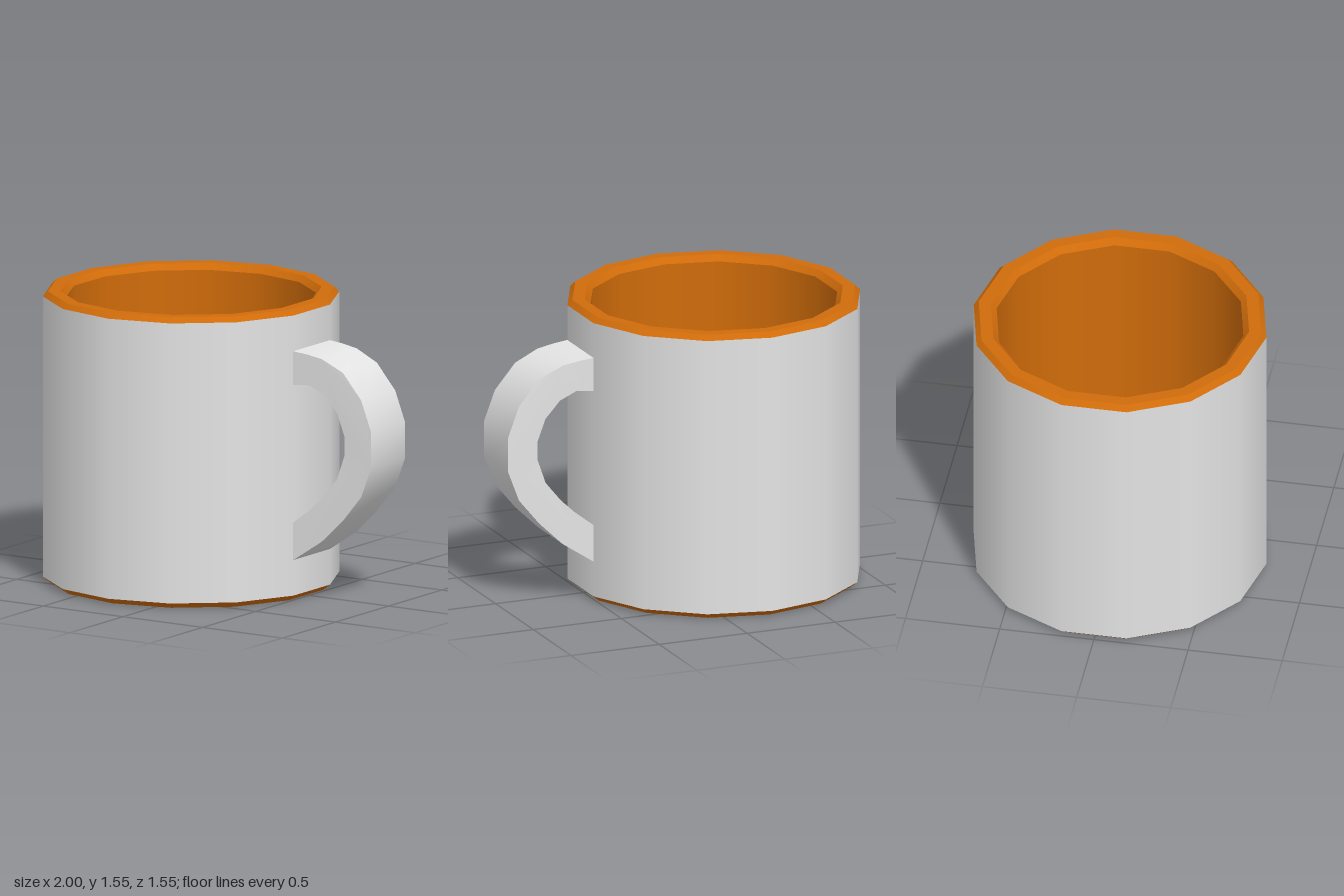
import * as THREE from 'three';
import { toCreasedNormals } from 'three/addons/utils/BufferGeometryUtils.js';

const SIDES = 14;
const BODY_X = -0.24;

export function createModel() {
  const mug = new THREE.Group();
  mug.name = 'mug';

  const glaze = new THREE.MeshStandardMaterial({ color: 0xe4e4e4 });
  glaze.name = 'pale grey glaze';
  const clay = new THREE.MeshStandardMaterial({ color: 0xd06c0a });
  clay.name = 'orange clay';

  // One band of the turned body, through a few [radius, height] points
  function band(name, points, material) {
    const profile = points.map(([r, y]) => new THREE.Vector2(r, y));
    const mesh = new THREE.Mesh(new THREE.LatheGeometry(profile, SIDES), material);
    mesh.name = name;
    mesh.position.x = BODY_X;
    mug.add(mesh);
  }

  // Body, from the slightly hollow underside up the wall, over the rim and down inside
  band('underside', [[0, 0.05], [0.25, 0.044], [0.5, 0.026], [0.74, 0]], clay);
  band('footBevel', [[0.74, 0], [0.777, 0.03]], clay);
  band('outerWall', [[0.777, 0.03], [0.777, 1.523]], glaze);
  band('rimOuterBevel', [[0.777, 1.523], [0.75, 1.55]], clay);
  band('rimTop', [[0.75, 1.55], [0.685, 1.55]], clay);
  band('rimInnerBevel', [[0.685, 1.55], [0.655, 1.518]], clay);
  band('innerWall', [[0.655, 1.518], [0.655, 0.1]], clay);
  band('innerFloor', [[0.655, 0.1], [0, 0.1]], clay);

  // Handle outline: outer edge downwards, then inner edge back up
  const outer = [
    [0.51, 1.334], [0.6, 1.325], [0.69, 1.31], [0.82, 1.25], [0.935, 1.115], [0.998, 0.95],
    [0.998, 0.765], [0.935, 0.6], [0.82, 0.46], [0.69, 0.335], [0.51, 0.215],
  ];
  const inner = [
    [0.51, 0.414], [0.61, 0.49], [0.7, 0.575], [0.785, 0.68], [0.83, 0.81],
    [0.83, 0.91], [0.785, 1.03], [0.705, 1.12], [0.615, 1.162], [0.51, 1.152],
  ];
  const outline = new THREE.Shape([...outer, ...inner].map(([x, y]) => new THREE.Vector2(x, y)));
  const handleGeometry = new THREE.ExtrudeGeometry(outline, { depth: 2, bevelEnabled: false });
  handleGeometry.translate(0, 0, -1);

  // The handle is slightly wider where it meets the wall
  const p = handleGeometry.attributes.position;
  for (let i = 0; i < p.count; i++) {
    const t = THREE.MathUtils.clamp((p.getX(i) - 0.515) / 0.3, 0, 1);
    p.setZ(i, p.getZ(i) * THREE.MathUtils.lerp(0.174, 0.16, t));
  }
  const handle = new THREE.Mesh(toCreasedNormals(handleGeometry, 0.9), glaze);
  handle.name = 'handle';
  mug.add(handle);

  return mug;
}
